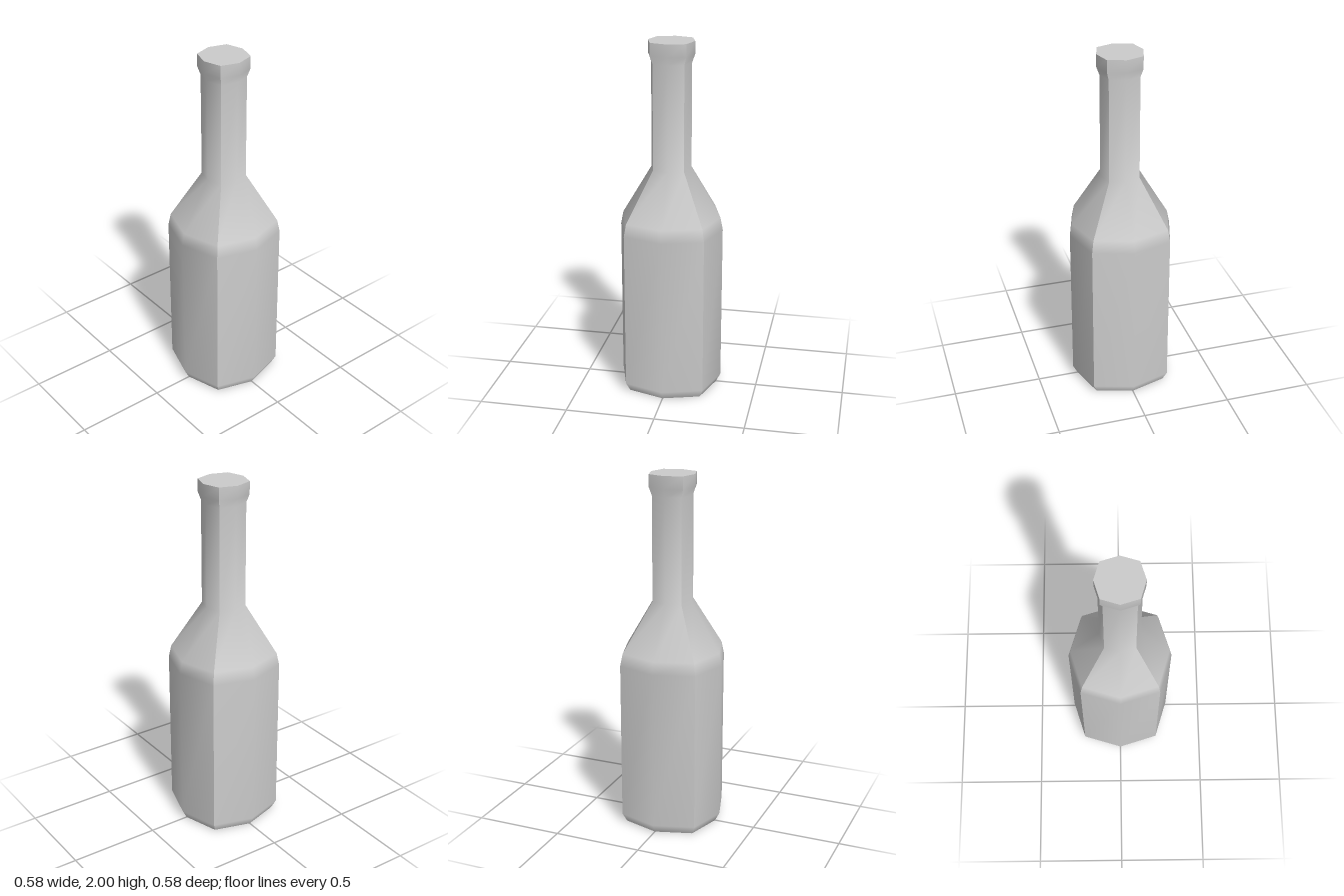
import * as THREE from 'three';
import { mergeGeometries } from 'three/addons/utils/BufferGeometryUtils.js';

// Silhouette as [radius, height] from base to lip
const PROFILE = [
  [0.265, 0], [0.291, 0.05], [0.291, 0.95], [0.277, 1.02],
  [0.112, 1.3], [0.112, 1.885], [0.128, 1.93], [0.128, 2],
];
// Corner offset relative to the mid-side radius (slightly squared octagon)
const CORNER = 0.765;

// One quarter of the wall: smooth inside, so its side edges stay sharp
function wallPanel() {
  const positions = [], index = [];
  for (const [r, y] of PROFILE) {
    const c = r * CORNER;
    positions.push(-c, y, c, 0, y, r, c, y, c);
  }
  for (let row = 0; row < PROFILE.length - 1; row++) {
    for (let col = 0; col < 2; col++) {
      const a = row * 3 + col, b = a + 1, d = a + 3, e = a + 4;
      index.push(a, b, e, a, e, d);
    }
  }
  const geometry = new THREE.BufferGeometry();
  geometry.setAttribute('position', new THREE.Float32BufferAttribute(positions, 3));
  geometry.setIndex(index);
  geometry.computeVertexNormals();
  return geometry;
}

// Flat eight-sided cap
function cap([r, y], facing) {
  const points = [];
  for (let i = 0; i < 8; i++) {
    const angle = i * Math.PI / 4;
    const radius = i % 2 ? r * CORNER * Math.SQRT2 : r;
    points.push(new THREE.Vector2(Math.cos(angle) * radius, Math.sin(angle) * radius));
  }
  return new THREE.ShapeGeometry(new THREE.Shape(points))
    .rotateX(-facing * Math.PI / 2)
    .translate(0, y, 0);
}

export function createModel() {
  const group = new THREE.Group();
  group.name = 'bottle';
  const material = new THREE.MeshStandardMaterial({ color: 0xcccccc });
  const add = (name, geometry) => {
    const mesh = new THREE.Mesh(geometry, material);
    mesh.name = name;
    group.add(mesh);
  };

  // Four matching panels around the axis
  const panels = [0, 1, 2, 3].map((i) => wallPanel().rotateY(i * Math.PI / 2));
  add('bottleWall', mergeGeometries(panels));
  add('base', cap(PROFILE[0], -1));
  add('mouthCap', cap(PROFILE[PROFILE.length - 1], 1));
  return group;
}
